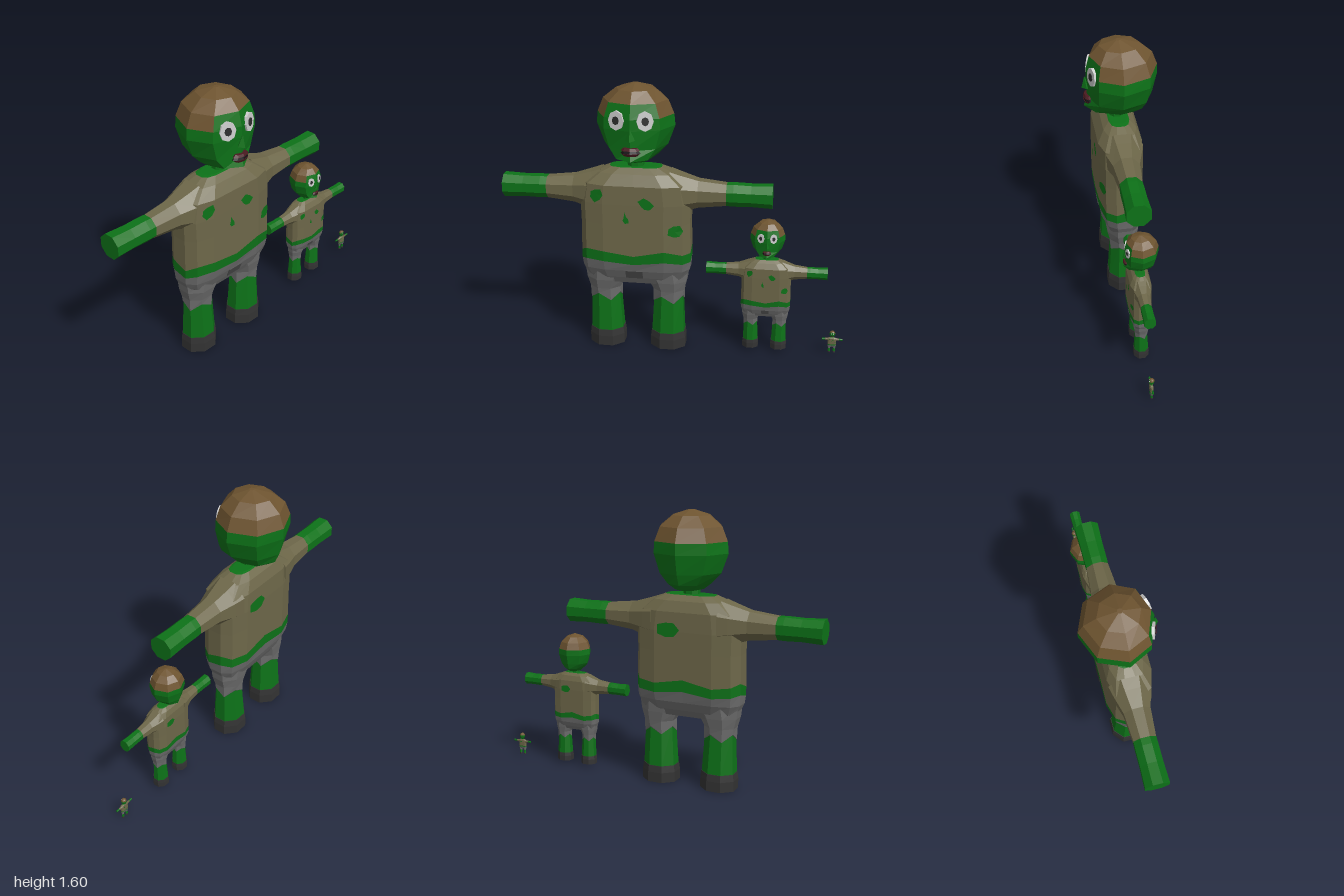
import * as THREE from 'three';

const mat = (color) => new THREE.MeshStandardMaterial({ color, flatShading: true, roughness: 1 });
const SKIN = mat(0x0d7218), SHIRT = mat(0x6d6749), HAIR = mat(0x6e5430), TROUSERS = mat(0x6c6c6c),
  BOOT = mat(0x333333), WHITE = mat(0xdddddd), PUPIL = mat(0x2c2c2c), LIP = mat(0x4a1a20), DARK = mat(0x141012),
  POCKET = mat(0x4e4e4e);

function mesh(name, geometry, material, parent) {
  const m = new THREE.Mesh(geometry, material);
  m.name = name;
  parent.add(m);
  return m;
}

// Skin between rings of points (counterclockwise seen from above, going up)
function loft(rings, { bottom = true, top = true, keep = () => true } = {}) {
  const pos = [];
  const tri = (...p) => p.forEach((v) => pos.push(...v));
  const n = rings[0].length;
  for (let i = 0; i < rings.length - 1; i++) {
    for (let j = 0; j < n; j++) {
      if (!keep(i, j)) continue;
      const k = (j + 1) % n, a = rings[i], b = rings[i + 1];
      tri(a[j], a[k], b[k]);
      tri(a[j], b[k], b[j]);
    }
  }
  const first = rings[0], last = rings[rings.length - 1];
  for (let j = 1; j < n - 1; j++) {
    if (bottom) tri(first[0], first[j + 1], first[j]);
    if (top) tri(last[0], last[j], last[j + 1]);
  }
  const g = new THREE.BufferGeometry();
  g.setAttribute('position', new THREE.Float32BufferAttribute(pos, 3));
  g.computeVertexNormals();
  return g;
}

// Flat-sided octagon ring
function octagon(y, rx, rz, cx = 0, cz = 0, jag = 0) {
  return Array.from({ length: 8 }, (_, j) => {
    const t = (j + 0.5) * Math.PI / 4, r = 1 / Math.cos(Math.PI / 8);
    return [cx + rx * r * Math.cos(t), y + jag * (j % 2 ? 1 : -1), cz - rz * r * Math.sin(t)];
  });
}

// Head ring: octagon with corners on the axes and separate front and back depth
function headRing([y, rx, front, back]) {
  return Array.from({ length: 8 }, (_, j) => {
    const t = j * Math.PI / 4, s = Math.sin(t);
    return [rx * Math.cos(t), y, -s * (s > 0 ? back : front)];
  });
}

// Torso ring: a rounded box outline, mirrored from one quarter
const QUARTER = [[1, 0.35], [0.88, 0.78], [0.55, 1], [0, 1]];
const back = QUARTER.slice(0, 3).reverse();
const OUTLINE = [
  ...QUARTER.map(([x, z]) => [x, -z]), ...back.map(([x, z]) => [-x, -z]),
  ...QUARTER.map(([x, z]) => [-x, z]), ...back.map(([x, z]) => [x, z]),
];
function torsoRing(y, hx, front, rear, wave = 0) {
  const c = (front - rear) / 2, hz = (front + rear) / 2;
  return OUTLINE.map(([x, z], j) => [x * hx, y + wave * Math.sin(j * 2.3 + 1), c + z * hz]);
}

// Depth of the torso surface at x, in the straight part of the shirt
function shirtZ(x, side) {
  const u = Math.abs(x) / 0.32;
  const f = u < 0.55 ? 1 : u < 0.88 ? 1 - (u - 0.55) * 0.667 : 0.78 - (u - 0.88) * 3.58;
  return 0.015 + side * (0.13 * f + 0.005);
}

// Torn hole in the shirt, laid on the torso surface
function tear(parent, x, y, side, radii, stretch = 1) {
  const n = radii.length;
  const ring = radii.map((r, j) => {
    const t = j / n * Math.PI * 2, px = x + r * stretch * Math.cos(t) * side;
    return [px, y + r * Math.sin(t), shirtZ(px, side)];
  });
  const pos = [];
  for (let j = 0; j < n; j++) pos.push(x, y, shirtZ(x, side), ...ring[j], ...ring[(j + 1) % n]);
  const g = new THREE.BufferGeometry();
  g.setAttribute('position', new THREE.Float32BufferAttribute(pos, 3));
  g.computeVertexNormals();
  mesh('shirtTear', g, SKIN, parent);
}

function buildTorso(fig) {
  const hem = torsoRing(0.625, 0.32, 0.145, 0.115, 0.02), waist = torsoRing(0.565, 0.32, 0.142, 0.115, 0.012);
  const collar = torsoRing(1.12, 0.15, 0.07, 0.05);
  mesh('hips', loft([torsoRing(0.42, 0.25, 0.09, 0.065), torsoRing(0.46, 0.295, 0.11, 0.085),
    torsoRing(0.51, 0.315, 0.13, 0.105), waist]), TROUSERS, fig);
  mesh('belly', loft([waist, hem], { bottom: false, top: false }), SKIN, fig);
  mesh('shirt', loft([hem, torsoRing(0.8, 0.317, 0.145, 0.115), torsoRing(0.92, 0.32, 0.145, 0.115),
    torsoRing(1.03, 0.3, 0.143, 0.11), torsoRing(1.09, 0.22, 0.105, 0.085), collar], { bottom: false, top: false }), SHIRT, fig);
  mesh('neckline', loft([collar, torsoRing(1.123, 0.12, 0.06, 0.04)], { bottom: false }), SKIN, fig);
  mesh('neck', loft([octagon(1.1, 0.045, 0.04, 0, 0.015), octagon(1.2, 0.045, 0.04, 0, 0.015)]), SKIN, fig);
  const pocket = mesh('fly', new THREE.BoxGeometry(0.1, 0.055, 0.02), POCKET, fig);
  pocket.position.set(0, 0.49, 0.117);
  pocket.rotation.x = 0.4;
  tear(fig, -0.21, 0.975, 1, [0.04, 0.045, 0.03, 0.035, 0.04, 0.05, 0.035]);
  tear(fig, 0.075, 0.925, 1, [0.05, 0.035, 0.045, 0.05, 0.025, 0.025, 0.035]);
  tear(fig, -0.04, 0.84, 1, [0.018, 0.01, 0.04, 0.015, 0.025, 0.03, 0.035], 0.8);
  tear(fig, 0.24, 0.77, 1, [0.045, 0.045, 0.035, 0.04, 0.045, 0.035, 0.04]);
  tear(fig, 0.09, 0.93, -1, [0.06, 0.05, 0.04, 0.06, 0.06, 0.045, 0.05], 1.2);
}

function buildArm(fig, side) {
  const arm = new THREE.Group();
  arm.name = side > 0 ? 'leftArm' : 'rightArm';
  arm.position.set(0, 0.97, 0.01);
  arm.rotation.z = -side * Math.PI / 2;
  fig.add(arm);
  mesh('sleeve', loft([octagon(0.2, 0.13, 0.12), octagon(0.26, 0.11, 0.105), octagon(0.36, 0.08, 0.075),
    octagon(0.53, 0.062, 0.062)]), SHIRT, arm);
  mesh('hand', loft([octagon(0.52, 0.063, 0.063), octagon(0.56, 0.065, 0.064), octagon(0.66, 0.062, 0.064),
    octagon(0.78, 0.067, 0.068)]), SKIN, arm);
}

function buildLeg(fig, side) {
  const leg = new THREE.Group();
  leg.name = side > 0 ? 'leftLeg' : 'rightLeg';
  fig.add(leg);
  const x = 0.185 * side;
  mesh('boot', loft([octagon(0, 0.103, 0.093, x, 0.008), octagon(0.06, 0.103, 0.093, x, 0.008),
    octagon(0.1, 0.098, 0.088, x, 0.008)]), BOOT, leg);
  mesh('shin', loft([octagon(0.09, 0.096, 0.086, x, 0.008), octagon(0.34, 0.084, 0.07, 0.188 * side, 0.01)]), SKIN, leg);
  mesh('trouserLeg', loft([octagon(0.315, 0.089, 0.075, 0.188 * side, 0.01, 0.022), octagon(0.37, 0.09, 0.08, 0.19 * side, 0.01),
    octagon(0.43, 0.113, 0.092, 0.183 * side, 0.012), octagon(0.51, 0.145, 0.1, 0.16 * side, 0.012)]), TROUSERS, leg);
}

function buildHead(fig) {
  const head = new THREE.Group();
  head.name = 'head';
  fig.add(head);
  const rings = [[1.155, 0.08, 0.09, 0.12], [1.19, 0.125, 0.2, 0.17], [1.25, 0.183, 0.18, 0.195], [1.36, 0.224, 0.185, 0.22],
    [1.425, 0.218, 0.185, 0.22], [1.505, 0.185, 0.165, 0.19], [1.565, 0.11, 0.11, 0.12], [1.595, 0.015, 0.015, 0.015]].map(headRing);
  // The forehead stays bare while the hair drops lower at the sides and back
  const isHair = (i, j) => i > 4 || (i === 4 && j !== 5 && j !== 6);
  mesh('face', loft(rings, { top: false, keep: (i, j) => !isHair(i, j) }), SKIN, head);
  mesh('hair', loft(rings, { bottom: false, keep: isHair }), HAIR, head);

  for (const s of [-1, 1]) {
    const eye = new THREE.Group();
    eye.name = s > 0 ? 'leftEye' : 'rightEye';
    eye.position.set(0.079 * s, 1.415, 0.158);
    eye.rotation.set(-0.08, 0.33 * s, 0);
    head.add(eye);
    const disc = (name, r, depth, m) => {
      const d = mesh(name, new THREE.CylinderGeometry(r, r, depth, 8), m, eye);
      d.rotation.x = Math.PI / 2;
      d.scale.z = 1.15;
    };
    disc('eyeball', 0.048, 0.018, WHITE);
    disc('pupil', 0.021, 0.024, PUPIL);
  }

  // Nose: wedge with its tip low and forward
  const nose = mesh('nose', new THREE.ConeGeometry(0.028, 0.07, 4), SKIN, head);
  nose.position.set(0, 1.345, 0.188);
  nose.rotation.x = 0.15;

  // Mouth: two lips round a dark gap
  const lip = (name, y, h, w, z, m) => {
    const l = mesh(name, new THREE.CylinderGeometry(w * 0.75, w, h, 8), m, head);
    l.scale.z = 0.5;
    l.position.set(0, y, z);
    return l;
  };
  lip('upperLip', 1.26, 0.014, 0.055, 0.176, LIP);
  lip('mouthGap', 1.245, 0.018, 0.056, 0.172, DARK);
  lip('lowerLip', 1.229, 0.014, 0.052, 0.178, LIP).rotation.z = Math.PI;
}

function buildFigure(name) {
  const fig = new THREE.Group();
  fig.name = name;
  buildTorso(fig);
  buildHead(fig);
  for (const side of [-1, 1]) {
    buildArm(fig, side);
    buildLeg(fig, side);
  }
  return fig;
}

export function createModel() {
  const model = new THREE.Group();
  model.name = 'threeZombies';
  // Same figure at three sizes: name, x, base height, scale
  for (const [name, x, y, scale] of [
    ['largeFigure', -0.22, 0, [1, 1, 1]],
    ['mediumFigure', 0.54, 0.02, [0.45, 0.505, 0.46]],
    ['smallFigure', 0.94, 0.005, [0.077, 0.0875, 0.075]],
  ]) {
    const fig = buildFigure(name);
    fig.position.set(x, y, 0);
    fig.scale.set(...scale);
    model.add(fig);
  }
  return model;
}
